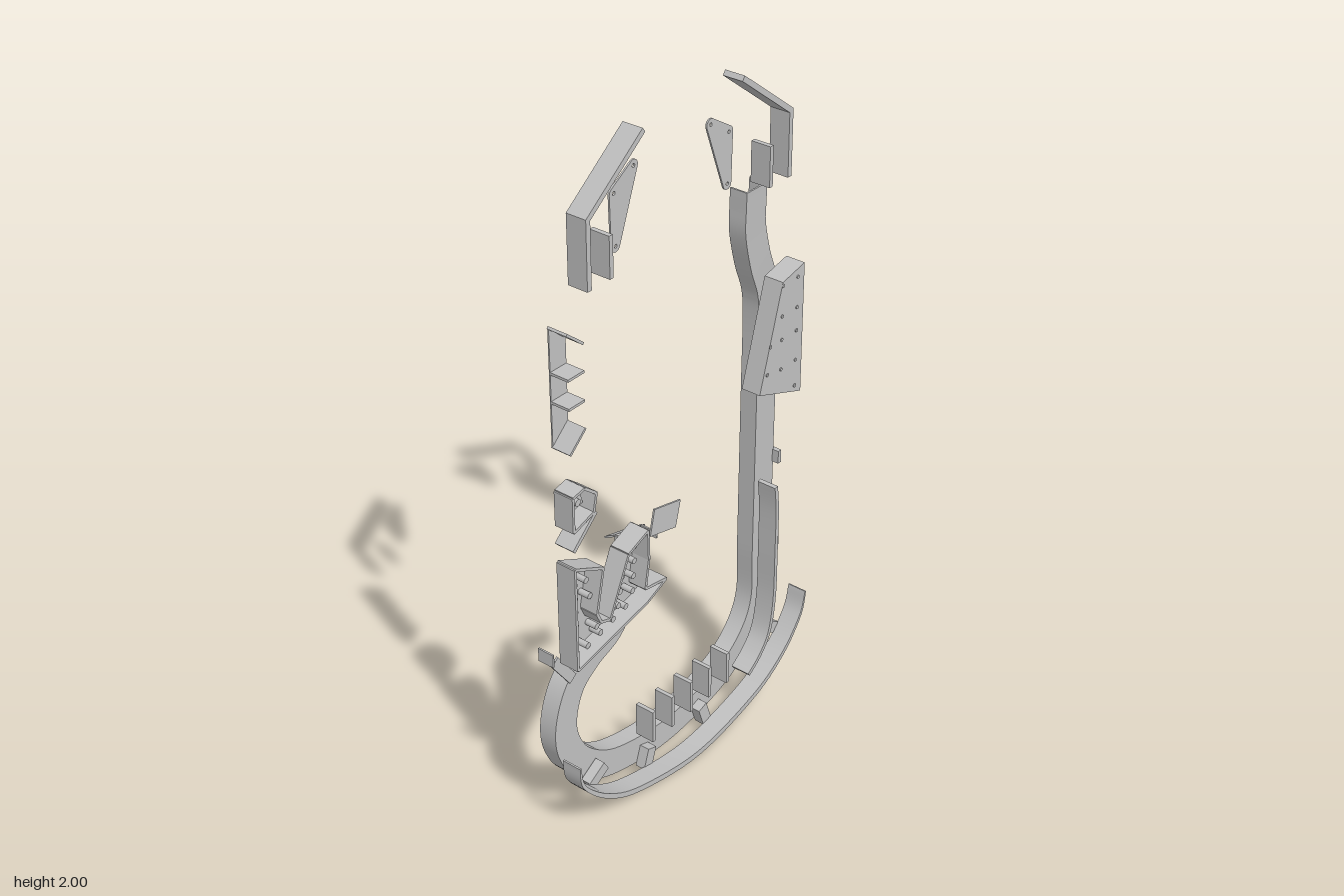
import * as THREE from 'three';
import { toCreasedNormals } from 'three/addons/utils/BufferGeometryUtils.js';

const V = (p) => new THREE.Vector2(p[0], p[1]);

export function createModel() {
  const model = new THREE.Group();
  const grey = new THREE.MeshStandardMaterial({ color: 0xc0c0c0, side: THREE.DoubleSide });
  grey.name = 'light grey';
  const Z0 = 0.012, Z1 = 0.071; // depth range of the upright walls

  const add = (name, geometry) => {
    const mesh = new THREE.Mesh(geometry, grey);
    mesh.name = name;
    model.add(mesh);
    return mesh;
  };
  const extrude = (shape, z0, z1) => {
    const g = new THREE.ExtrudeGeometry(shape, { depth: z1 - z0, bevelEnabled: false, curveSegments: 8 });
    return toCreasedNormals(g.translate(0, 0, z0), 0.5);
  };
  const plate = (name, pts, z0, z1) => add(name, extrude(new THREE.Shape(pts.map(V)), z0, z1));
  const smooth = (pts, n) => new THREE.SplineCurve(pts.map(V)).getPoints(n).map((p) => [p.x, p.y]);
  const mirror = (pts, s) => pts.map(([x, y]) => [x * s, y]);

  // mitred sideways direction at every point of a path
  const normals = (pts) => pts.map((p, i) => {
    const a = V(pts[Math.max(i - 1, 0)]), b = V(p), c = V(pts[Math.min(i + 1, pts.length - 1)]);
    const d1 = b.clone().sub(a).normalize(), d2 = c.sub(b).normalize();
    const d = d1.clone().add(d2).normalize();
    const k = 1 / Math.max(0.5, d.dot(i ? d1 : d2));
    return [-d.y * k, d.x * k];
  });
  // upright wall following a path, t thick (number or rule along the path)
  const wall = (name, pts, t = 0.01, z0 = Z0, z1 = Z1) => {
    const n = normals(pts);
    const side = (s) => pts.map(([x, y], i) => {
      const w = s * (typeof t === 'function' ? t(i / (pts.length - 1)) : t) / 2;
      return [x + n[i][0] * w, y + n[i][1] * w];
    });
    return plate(name, [...side(1), ...side(-1).reverse()], z0, z1);
  };
  const peg = (name, x, y, z0, z1, r = 0.007) => {
    const g = new THREE.CylinderGeometry(r, r, z1 - z0, 12).rotateX(Math.PI / 2);
    add(name, g.translate(x, y, (z0 + z1) / 2));
  };
  const box = (name, w, h, d, x, y, z) => add(name, new THREE.BoxGeometry(w, h, d).translate(x, y, z));

  // long channel: U section open to the back, sinking backwards along its run
  const run = smooth([
    [0.312, 1.63], [0.312, 1.58], [0.314, 1.51], [0.34, 1.41], [0.374, 1.32], [0.385, 1.22], [0.385, 1.0],
    [0.385, 0.75], [0.385, 0.5], [0.384, 0.305], [0.32, 0.185], [0.195, 0.108], [-0.03, 0.072],
    [-0.255, 0.108], [-0.38, 0.185], [-0.438, 0.28], [-0.444, 0.37], [-0.407, 0.46], [-0.333, 0.515],
    [-0.25, 0.55], [-0.2, 0.61]], 160);
  const section = [[-0.0425, 0], [0.0425, 0], [0.0425, -0.054], [0.0375, -0.054],
    [0.0375, -0.005], [-0.0375, -0.005], [-0.0375, -0.054], [-0.0425, -0.054]];
  const runN = normals(run), pos = [], index = [], m = section.length;
  run.forEach(([x, y], i) => section.forEach(([o, z]) =>
    pos.push(x + runN[i][0] * o, y + runN[i][1] * o, z + 0.003 - 0.023 * Math.min(1, 1.4 * i / 160))));
  for (let i = 0; i < run.length - 1; i++) {
    for (let j = 0; j < m; j++) {
      const a = i * m + j, b = i * m + (j + 1) % m;
      index.push(a, a + m, b, b, a + m, b + m);
    }
  }
  const end = run.length * m - m;
  for (const [a, b, c, d] of [[0, 1, 4, 5], [1, 2, 3, 4], [0, 5, 6, 7]]) {
    index.push(a, b, c, a, c, d, end + a, end + c, end + b, end + a, end + d, end + c);
  }
  const channel = new THREE.BufferGeometry();
  channel.setAttribute('position', new THREE.Float32BufferAttribute(pos, 3));
  channel.setIndex(index);
  add('channel', toCreasedNormals(channel, 0.6));

  // curved rails
  wall('outerRail', smooth([[-0.496, 0.29], [-0.48, 0.215], [-0.385, 0.12], [-0.25, 0.055], [0, 0.011],
    [0.25, 0.052], [0.39, 0.122], [0.475, 0.215], [0.497, 0.29]], 60), (u) => 0.005 + 0.013 * Math.sin(Math.PI * u));
  wall('innerRail', smooth([[0.338, 0.735], [0.346, 0.65], [0.346, 0.5], [0.344, 0.36], [0.325, 0.25],
    [0.285, 0.19], [0.23, 0.148]], 40), 0.013);

  // flat ties between outer rail and channel
  for (const [a, b] of [[[-0.33, 0.16], [-0.39, 0.125]], [[-0.135, 0.09], [-0.155, 0.03]],
    [[0.09, 0.09], [0.11, 0.03]], [[0.36, 0.22], [0.44, 0.165]]]) wall('railTie', [a, b], 0.035, -0.016, 0.014);
  wall('channelStrut', [[-0.487, 0.595], [-0.42, 0.5]], 0.03, -0.02, -0.014);
  box('strutFlap', 0.005, 0.04, 0.05, -0.496, 0.605, -0.035);
  for (const y of [0.765, 0.485]) box('sideTab', 0.013, 0.04, 0.025, 0.43, y, 0);

  // row of dividers
  for (let i = 0; i < 5; i++) {
    const x = -0.195 + i * 0.0812;
    wall('divider', [[x, 0.185], [x, 0.287]], 0.012);
  }

  // mirrored upper pieces
  for (const s of [-1, 1]) {
    const cx = s < 0 ? -0.03 : -0.03 + 0.001;
    const at = (pts) => mirror(pts, s).map(([x, y]) => [x + cx, y]);
    wall('topRail', at([[0.384, 1.665], [0.384, 1.845], [0.185, 1.995]]), 0.015);
    wall('lanePost', at([[0.306, 1.665], [0.306, 1.777]]), 0.013);
    // triangular plate with rounded corners
    const corners = at([[0.145, 1.872], [0.217, 1.828], [0.213, 1.69]]);
    const ring = [];
    for (const [x, y] of corners) {
      for (let k = 0; k < 16; k++) ring.push(V([x + 0.016 * Math.cos(k * Math.PI / 8), y + 0.016 * Math.sin(k * Math.PI / 8)]));
    }
    // convex outline of the three corner circles
    const sorted = ring.sort((p, q) => p.x - q.x || p.y - q.y);
    const half = (list) => list.reduce((h, p) => {
      while (h.length > 1 && h[h.length - 1].clone().sub(h[h.length - 2]).cross(p.clone().sub(h[h.length - 2])) <= 0) h.pop();
      h.push(p);
      return h;
    }, []);
    const hull = [...half(sorted).slice(0, -1), ...half([...sorted].reverse()).slice(0, -1)];
    const shape = new THREE.Shape(hull);
    for (const [x, y] of corners) shape.holes.push(new THREE.Path().absarc(x, y, 0.005, 0, Math.PI * 2, true));
    add('triangularPlate', extrude(shape, 0, 0.005));
  }

  // right deck with screws
  plate('sideDeck', [[0.34, 1.37], [0.434, 1.39], [0.434, 1.0], [0.25, 1.07]], Z0, Z1);
  for (const [x, y] of [[0.34, 1.36], [0.405, 1.36], [0.34, 1.27], [0.405, 1.27], [0.29, 1.2], [0.34, 1.2],
    [0.405, 1.2], [0.28, 1.12], [0.34, 1.11], [0.405, 1.11], [0.405, 1.03]]) peg('deckScrew', x, y, Z1, Z1 + 0.003, 0.005);

  // left shelf unit
  plate('shelfBack', [[-0.497, 1.587], [-0.44, 1.54], [-0.44, 1.31], [-0.497, 1.26]], Z0, Z0 + 0.004);
  for (const [a, b] of [[1.587, 1.54], [1.465, 1.465], [1.386, 1.386], [1.26, 1.31]]) {
    wall('shelf', [[-0.497, a], [-0.44, b]], 0.007);
  }

  // tray: back plate with a rim around it
  const tray = (name, pts) => {
    plate(name + 'Back', pts, Z0, Z0 + 0.005);
    pts.forEach((p, i) => wall(name + 'Rim', [p, pts[(i + 1) % pts.length]], 0.008));
  };
  tray('smallTray', [[-0.492, 1.135], [-0.45, 1.143], [-0.407, 1.108], [-0.418, 1.058], [-0.492, 1.035]]);
  wall('smallTrayRamp', [[-0.495, 0.98], [-0.41, 1.055]], 0.012);
  wall('smallTrayBlock', [[-0.475, 1.088], [-0.43, 1.1]], 0.045, Z0, 0.04);
  peg('smallTrayPeg', -0.452, 1.094, Z0, 0.05, 0.01);

  tray('forkTray', [[-0.492, 0.925], [-0.388, 0.873], [-0.415, 0.745], [-0.4, 0.712], [-0.365, 0.7],
    [-0.29, 0.86], [-0.212, 0.89], [-0.21, 0.8], [-0.225, 0.715], [-0.14, 0.7], [-0.215, 0.668], [-0.492, 0.612]]);
  for (let i = 0; i < 6; i++) {
    peg('leftPeg', -0.472, 0.855 - i * 0.042, 0, 0.05, 0.009);
    if (i < 4) {
      peg('middlePeg', -0.43 + i * 0.012, 0.85 - i * 0.055, 0, 0.05, 0.009);
      peg('rightPeg', -0.24 - i * 0.004, 0.85 - i * 0.045, 0, 0.05, 0.009);
      peg('innerPeg', -0.285 - i * 0.008, 0.82 - i * 0.04, 0, 0.05, 0.009);
      peg('lowerPeg', -0.43 + i * 0.05, 0.645 + i * 0.012, 0, 0.05, 0.009);
    }
  }

  // front panel and rear flap beside the fork
  plate('frontPanel', [[-0.187, 0.942], [-0.082, 0.917], [-0.102, 0.842], [-0.205, 0.868]], 0.066, 0.071);
  const flap = box('rearFlap', 0.115, 0.005, 0.036, 0, 0, 0);
  flap.position.set(-0.155, 0.803, -0.056);
  flap.rotation.set(-0.5, 0, -0.21);
  box('flapLegLeft', 0.005, 0.02, 0.055, -0.108, 0.795, -0.015);
  box('flapLegRight', 0.005, 0.02, 0.055, -0.21, 0.815, -0.015);

  // rest the whole on the ground plane
  const lift = -new THREE.Box3().setFromObject(model).min.y;
  model.children.forEach((c) => { c.position.y += lift; });
  return model;
}
